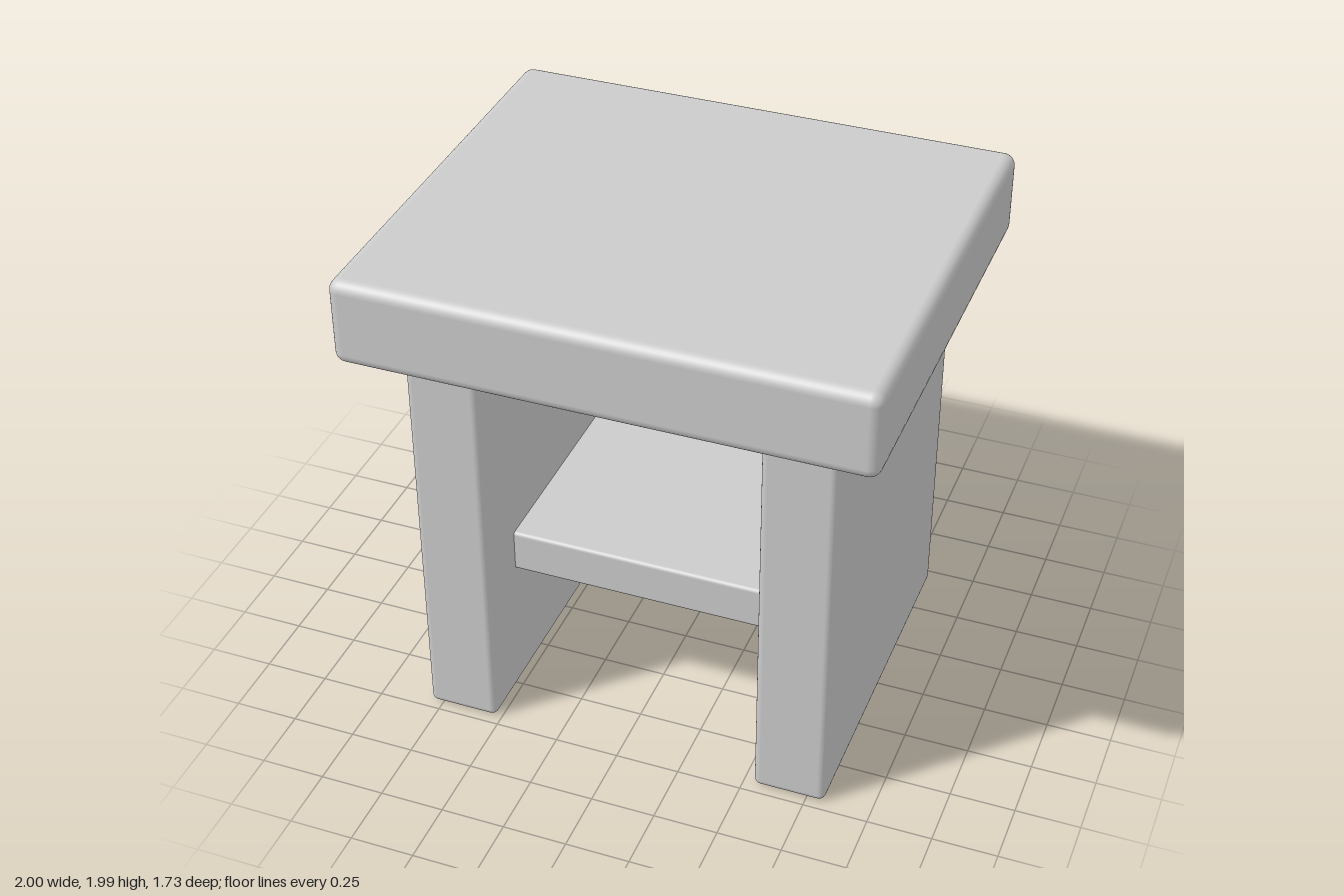
import * as THREE from 'three';
import { RoundedBoxGeometry } from 'three/addons/geometries/RoundedBoxGeometry.js';

export function createModel() {
  const group = new THREE.Group();
  const material = new THREE.MeshStandardMaterial({ color: 0xcccccc });

  // Softly rounded board, placed by its centre x and its bottom height
  function addBoard(name, width, height, depth, radius, x, bottom) {
    const mesh = new THREE.Mesh(new RoundedBoxGeometry(width, height, depth, 3, radius), material);
    mesh.name = name;
    mesh.position.set(x, bottom + height / 2, 0);
    group.add(mesh);
  }

  // Thick seat slab
  addBoard('seat', 2, 0.34, 1.73, 0.045, 0, 1.645);

  // Two panel legs
  addBoard('leftLeg', 0.28, 1.65, 1.43, 0.028, 0.68, 0);
  addBoard('rightLeg', 0.28, 1.65, 1.43, 0.028, -0.66, 0);

  // Shelf between the legs, its ends let into the panels
  addBoard('shelf', 1.18, 0.175, 0.945, 0.015, 0.01, 0.56);

  return group;
}
